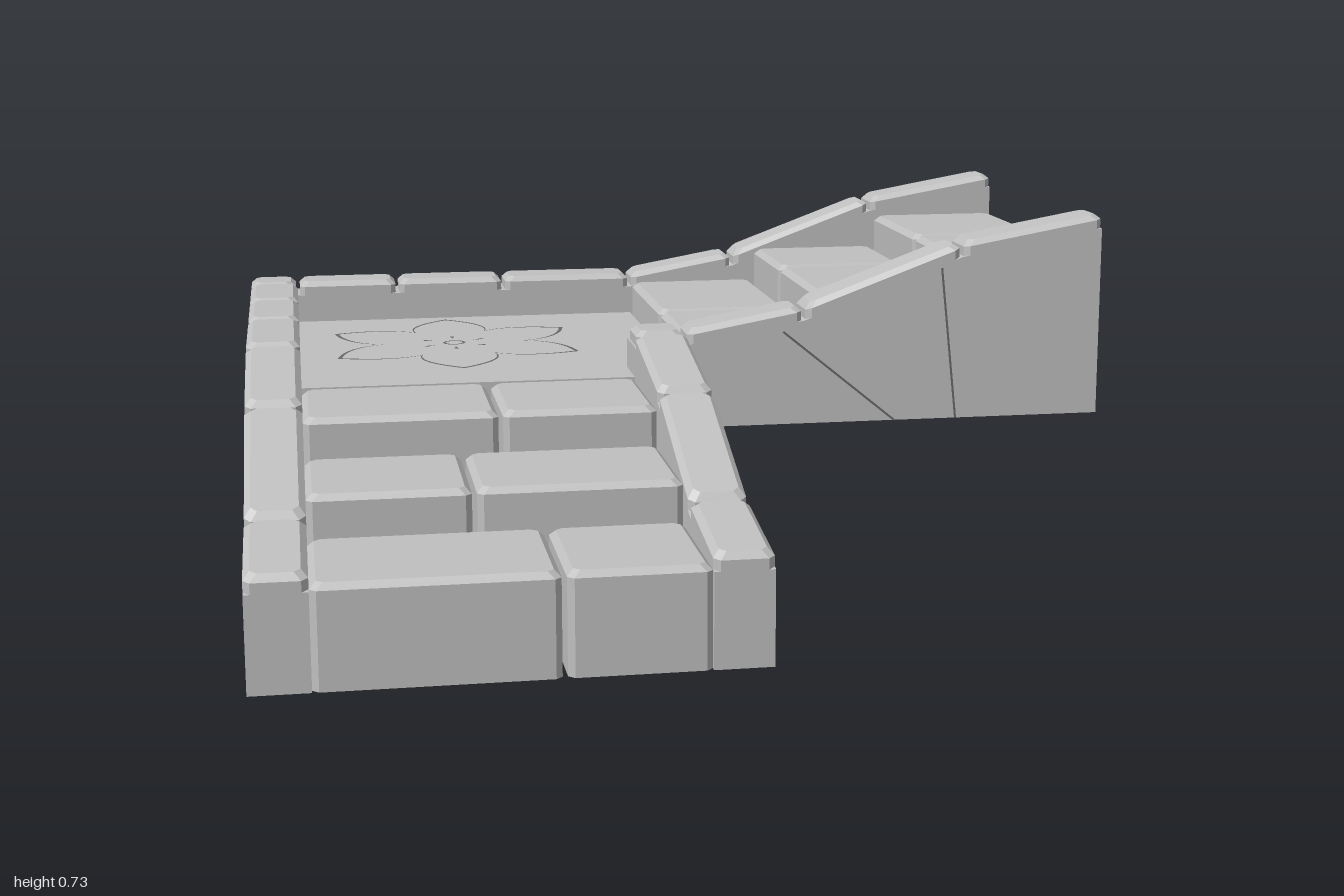
import * as THREE from 'three';

const stone = new THREE.MeshStandardMaterial({ color: 0xc0c0c0 });
stone.name = 'pale stone';
const carved = new THREE.MeshStandardMaterial({ color: 0x6a6a6a });
carved.name = 'carved line';

const FLOOR = 0.375, UNDER = 0.25, W = 0.12, CAP = 0.035, GAP = 0.005;

// Wall top outlines as [distance, height]
const rising = [[-1, 0.48], [0, 0.48], [0.28, 0.53], [0.66, 0.67], [1, 0.73]];
const falling = [[-1, 0.48], [0, 0.48], [0.34, 0.415], [0.725, 0.27], [1, 0.23]];

function heightAt(profile, t) {
  for (let i = 1; i < profile.length; i++) {
    const [a, ya] = profile[i - 1], [b, yb] = profile[i];
    if (t <= b || i === profile.length - 1) return ya + (yb - ya) * (t - a) / (b - a);
  }
}

// Stone block with chamfered upright corners and top edge; bottom and top are functions of (x, z)
function blockGeometry(x0, x1, z0, z1, bottom, top, c = 0.013) {
  const outline = (d) => {
    const [l, r, n, f] = [x0 + d, x1 - d, z0 + d, z1 - d];
    return [[r - c, f], [r, f - c], [r, n + c], [r - c, n], [l + c, n], [l, n + c], [l, f - c], [l + c, f]];
  };
  const ring = (d, h) => outline(d).map(([x, z]) => [x, h(x, z), z]);
  const rings = [ring(0, bottom), ring(0, (x, z) => top(x, z) - c), ring(c, top)];
  const pos = [];
  const tri = (...pts) => pts.forEach((p) => pos.push(...p));
  for (let i = 0; i < 2; i++) {
    for (let j = 0; j < 8; j++) {
      const k = (j + 1) % 8, a = rings[i], b = rings[i + 1];
      tri(a[j], a[k], b[k]);
      tri(a[j], b[k], b[j]);
    }
  }
  for (let j = 1; j < 7; j++) {
    tri(rings[2][0], rings[2][j], rings[2][j + 1]);
    tri(rings[0][0], rings[0][j + 1], rings[0][j]);
  }
  const g = new THREE.BufferGeometry();
  g.setAttribute('position', new THREE.Float32BufferAttribute(pos, 3));
  g.computeVertexNormals();
  return g;
}

export function createModel() {
  const model = new THREE.Group();
  model.name = 'stoneStairCorner';
  const add = (name, geometry, material = stone) => {
    const m = new THREE.Mesh(geometry, material);
    m.name = name;
    model.add(m);
    return m;
  };

  // Wall body: outline extruded across the wall thickness, along x or z
  function wall(name, profile, from, foot, axis, offset) {
    const pts = [[from, heightAt(profile, from)], ...profile.filter((p) => p[0] > from)];
    const shape = new THREE.Shape([...foot, ...pts.reverse().map(([t, y]) => [t, y - CAP])]
      .map(([t, y]) => new THREE.Vector2(t, y)));
    const g = new THREE.ExtrudeGeometry(shape, { depth: W, bevelEnabled: false });
    if (axis === 'z') g.rotateY(-Math.PI / 2).translate(offset + W, 0, 0);
    else g.translate(0, 0, offset);
    add(name, g);
  }
  wall('backWall', rising, -1, [[-1, 0], [0, 0], [0, UNDER], [1, UNDER]], 'x', -1);
  wall('upperStairFrontWall', rising, -W, [[-W, UNDER], [1, UNDER]], 'x', -W);
  wall('outerSideWall', falling, -1 + W, [[-1 + W, 0], [1, 0]], 'z', -1);
  wall('lowerStairInnerWall', falling, 0, [[0, 0], [1, 0]], 'z', -W);

  // Coping stones on the walls, parted by narrow joints
  function coping(name, profile, joints, axis, offset) {
    for (let i = 1; i < joints.length; i++) {
      const a = joints[i - 1], b = joints[i];
      const t0 = a === -1 ? a : a + GAP, t1 = b === 1 ? b : b - GAP;
      const mid = (a + b) / 2, y0 = heightAt(profile, mid);
      const slope = (heightAt(profile, mid + 0.01) - y0) / 0.01;
      const top = (x, z) => y0 + slope * ((axis === 'x' ? x : z) - mid);
      const low = (x, z) => top(x, z) - CAP;
      add(name, axis === 'x'
        ? blockGeometry(t0, t1, offset, offset + W, low, top)
        : blockGeometry(offset, offset + W, t0, t1, low, top));
    }
  }
  coping('backCoping', rising, [-1, -0.88, -0.62, -0.34, 0, 0.28, 0.66, 1], 'x', -1);
  coping('upperFrontCoping', rising, [-W, 0, 0.28, 0.66, 1], 'x', -W);
  coping('outerSideCoping', falling, [-0.88, -0.62, -0.34, 0, 0.34, 0.725, 1], 'z', -1);
  coping('lowerInnerCoping', falling, [0, 0.34, 0.725, 1], 'z', -W);

  // Landing slab over the open hollow
  add('landingFloor', new THREE.BoxGeometry(0.88, FLOOR - UNDER, 0.88)
    .translate(-0.44, (FLOOR + UNDER) / 2, -0.44));

  // Steps: two full-depth blocks each, split at a different place per step
  const third = 1 / 3;
  const lowerSplits = [-0.46, -0.545, -0.405], upperSplits = [-0.41, -0.545, -0.465];
  for (let i = 0; i < 3; i++) {
    const t0 = i * third + GAP, t1 = i === 2 ? 1 : (i + 1) * third - GAP;
    const lowTop = () => FLOOR - i * 0.083, highTop = () => FLOOR + (i + 1) * 0.083;
    const ground = () => 0, under = () => UNDER;
    for (const [name, split, isLower] of [['lowerStep', lowerSplits[i], true], ['upperStep', upperSplits[i], false]]) {
      for (const [a, b] of [[-0.88, split - GAP], [split + GAP, -W]]) {
        add(name, isLower
          ? blockGeometry(a, b, t0, t1, ground, lowTop)
          : blockGeometry(t0, t1, a, b, under, highTop));
      }
    }
  }

  // Carved six-petal flower on the landing
  const polar = (r, deg) => {
    const a = THREE.MathUtils.degToRad(deg);
    return [r * Math.cos(a), r * Math.sin(a)];
  };
  function flowerPath(path, k) {
    path.moveTo(...polar(0.18 * k, 0));
    for (let i = 0; i < 6; i++) {
      const tip = i * 60 + 30;
      path.quadraticCurveTo(...polar(0.275 * k, tip - 24), ...polar(0.337 * k, tip));
      path.quadraticCurveTo(...polar(0.275 * k, tip + 24), ...polar(0.18 * k, tip + 30));
    }
    return path;
  }
  const flower = new THREE.Group();
  flower.name = 'flowerCarving';
  flower.position.set(-0.5, FLOOR + 0.002, -0.5);
  flower.rotation.x = -Math.PI / 2;
  model.add(flower);
  const engrave = (name, geometry) => {
    const m = new THREE.Mesh(geometry, carved);
    m.name = name;
    flower.add(m);
  };
  const petals = flowerPath(new THREE.Shape(), 1);
  petals.holes.push(flowerPath(new THREE.Path(), 0.965));
  engrave('petalOutline', new THREE.ShapeGeometry(petals, 10));
  engrave('flowerCentre', new THREE.RingGeometry(0.021, 0.028, 20));
  for (let i = 0; i < 6; i++) {
    const dart = new THREE.Shape([[0.055, 0], [0.085, -0.006], [0.085, 0.006]].map((p) => new THREE.Vector2(...p)));
    engrave('flowerDart', new THREE.ShapeGeometry(dart).rotateZ(i * Math.PI / 3 + Math.PI / 6));
  }

  // Fine cracks in the stone faces
  function crack(...points) {
    const v = points.map((p) => new THREE.Vector3(...p));
    for (let i = 1; i < v.length; i++) {
      const m = add('crack', new THREE.BoxGeometry(0.005, 0.005, v[i].distanceTo(v[i - 1])), carved);
      m.position.copy(v[i]).add(v[i - 1]).multiplyScalar(0.5);
      m.lookAt(v[i]);
    }
  }
  for (const x of [0, -0.998]) {
    crack([x, 0.22, 0.755], [x, 0, 0.76]);
    crack([x, 0.35, 0.4], [x, 0, 0.3]);
  }
  for (const z of [-0.002, -0.998]) {
    crack([0.23, 0.47, z], [0.5, UNDER, z]);
    crack([0.61, 0.61, z], [0.65, UNDER, z]);
  }
  crack([-0.88, 0.25, -0.27], [-0.88, 0.09, -0.25], [-0.88, 0, -0.2]);
  crack([-0.88, 0.09, -0.25], [-0.88, 0.25, -0.52]);
  crack([-0.88, 0.25, -0.69], [-0.88, 0, -0.74]);
  crack([-0.25, 0.06, -0.998], [-0.35, 0.15, -0.998], [-0.58, 0.2, -0.998], [-0.7, 0.3, -0.998]);
  crack([-0.58, 0.2, -0.998], [-0.68, 0.1, -0.998]);
  crack([-0.998, 0.3, -0.75], [-0.998, 0.05, -0.8]);
  crack([-0.998, 0.3, -0.62], [-0.998, 0.22, -0.5], [-0.998, 0.15, -0.45]);

  return model;
}
